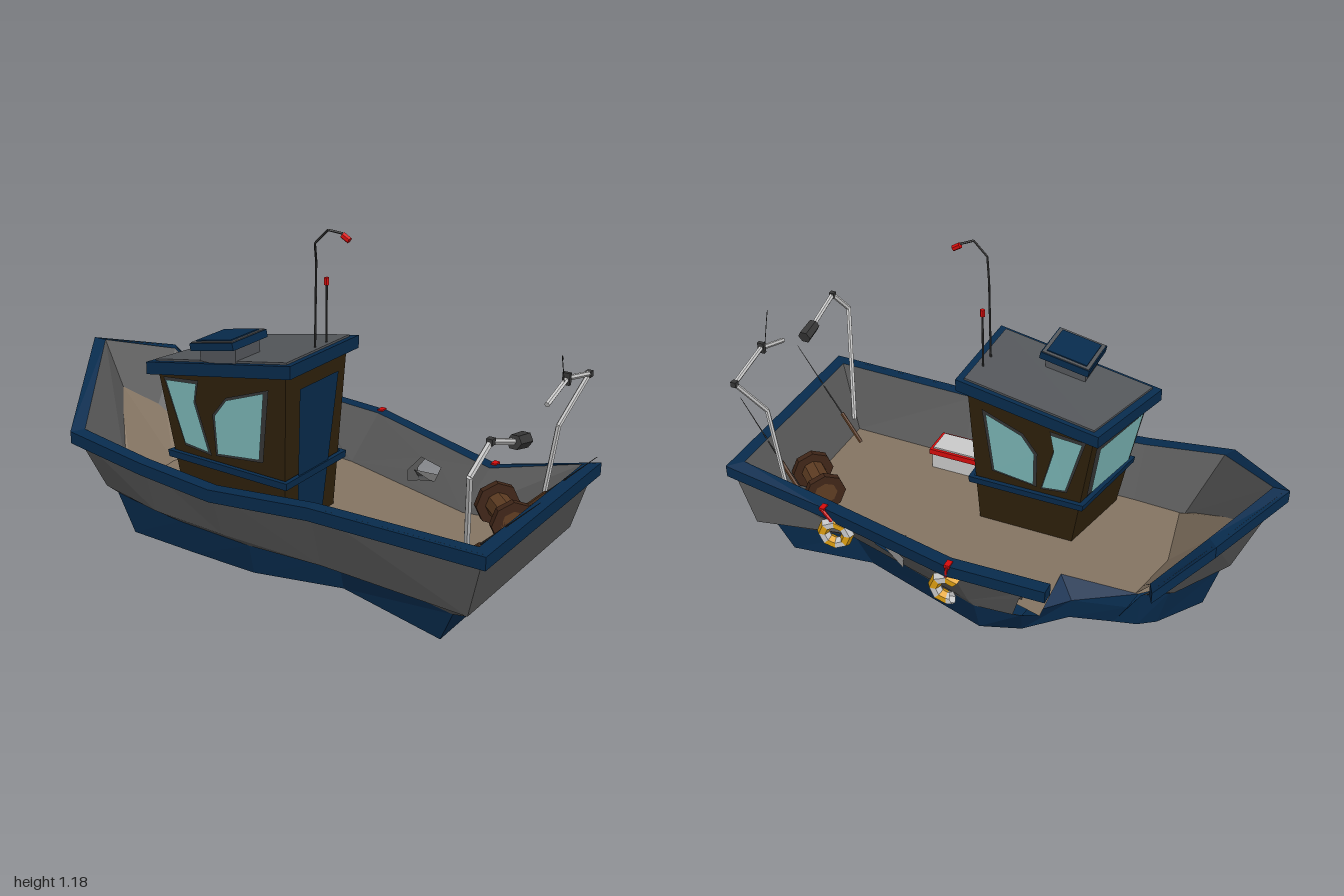
import * as THREE from 'three';

const V = (a) => new THREE.Vector3(...a);
const mat = (color) => new THREE.MeshStandardMaterial({ color, flatShading: true, side: THREE.DoubleSide });
const M = {
  grey: mat(0x5a5a5a), blue: mat(0x082c4e), brown: mat(0x30220c), deck: mat(0x857563), roof: mat(0x55585c),
  glass: mat(0x7fbcbc), steel: mat(0xc8c8c8), dark: mat(0x383838), red: mat(0xd80c0c), white: mat(0xd4d4d4),
  orange: mat(0xe0a010), wood: mat(0x5e3c22), darkWood: mat(0x402618),
};

export function createModel() {
  const model = new THREE.Group();
  const add = (name, geo, m, parent = model) => {
    const mesh = new THREE.Mesh(geo, m);
    mesh.name = name;
    parent.add(mesh);
    return mesh;
  };
  const fromTriangles = (pts) => {
    const g = new THREE.BufferGeometry();
    g.setAttribute('position', new THREE.Float32BufferAttribute(pts.flat(), 3));
    g.computeVertexNormals();
    return g;
  };
  // Joins rows of matching points; `around` closes each row on itself
  const loft = (rows, around = false, caps = false) => {
    const t = [], n = rows[0].length;
    for (let i = 0; i < rows.length - 1; i++) for (let j = 0; j < (around ? n : n - 1); j++) {
      const k = (j + 1) % n, a = rows[i][j], b = rows[i][k], c = rows[i + 1][k], d = rows[i + 1][j];
      t.push(a, b, c, a, c, d);
    }
    if (caps) for (const r of [rows[0], rows[rows.length - 1]])
      for (let j = 1; j < n - 1; j++) t.push(r[0], r[j], r[j + 1]);
    return fromTriangles(t);
  };
  // Shape in 0..1 coordinates laid on a four-cornered patch a-b (u), a-d (v)
  const patch = ([a, b, c, d], outline, hole) => {
    const shape = new THREE.Shape(outline.map((p) => new THREE.Vector2(...p)));
    if (hole) shape.holes.push(new THREE.Path(hole.map((p) => new THREE.Vector2(...p))));
    const g = new THREE.ShapeGeometry(shape), p = g.attributes.position;
    for (let i = 0; i < p.count; i++) {
      const u = p.getX(i), v = p.getY(i);
      const q = V(a).lerp(V(b), u).lerp(V(d).lerp(V(c), u), v);
      p.setXYZ(i, q.x, q.y, q.z);
    }
    g.computeVertexNormals();
    return g;
  };
  const flat = (pts, y) => new THREE.ShapeGeometry(
    new THREE.Shape(pts.map((p) => new THREE.Vector2(p[0], -p[2])))).rotateX(-Math.PI / 2).translate(0, y, 0);
  const rod = (name, a, b, r, m, parent, r2 = r, sides = 6) => {
    const p = V(a), q = V(b), mesh = add(name, new THREE.CylinderGeometry(r2, r, p.distanceTo(q), sides), m, parent);
    mesh.position.copy(p).lerp(q, 0.5);
    mesh.quaternion.setFromUnitVectors(new THREE.Vector3(0, 1, 0), q.sub(p).normalize());
    return mesh;
  };
  const path = (name, pts, r, m, parent) => pts.slice(1).forEach((p, i) => rod(name, pts[i], p, r, m, parent));
  const box = (name, s, p, m, parent) => {
    const mesh = add(name, new THREE.BoxGeometry(...s), m, parent);
    mesh.position.set(...p);
    return mesh;
  };

  // Hull stations, from the broken side round the stern to the broken bow
  const rim = [[.46, .345, -.36], [.455, .33, 0], [.31, .295, .55], [.335, .385, .91], [-.46, .385, .91], [-.465, .37, .3],
    [-.465, .325, -.1], [-.465, .345, -.4], [-.465, .385, -.72], [-.06, .575, -.985], [.21, .5, -.83], [.29, .31, -.66]];
  const foot = [[.405, .14, -.22], [.395, .135, -.05], [.25, .135, .5], [.32, .135, .84], [-.41, .135, .84], [-.4, .135, .3],
    [-.41, .135, -.1], [-.41, .14, -.4], [-.4, .17, -.64], [-.06, .2, -.84], [.14, .19, -.7], [.17, .17, -.6]];
  // Moves a plan outline outward by d (mitred) and shifts its height
  const offset = (pts, d, dy = 0) => pts.map((p, i) => {
    const side = (a, b) => new THREE.Vector2(b[2] - a[2], a[0] - b[0]).normalize();
    const n1 = side(pts[Math.max(i - 1, 0)], pts[Math.max(i, 1)]);
    const n2 = side(pts[Math.min(i, pts.length - 2)], pts[Math.min(i + 1, pts.length - 1)]);
    const n = n1.add(n2), k = 2 * d / n.lengthSq();
    return [p[0] + n.x * k, p[1] + dy, p[2] + n.y * k];
  });

  const hull = new THREE.Group();
  hull.name = 'hull';
  model.add(hull);
  const rimIn = offset(rim, -.035), deckEdge = offset(foot, -.07).map((p) => [p[0], .15 + Math.max(0, p[1] - .17), p[2]]);
  // Walls: the first panel has a ragged end, the second a torn hole
  const square = [[0, 0], [1, 0], [1, 1], [0, 1]];
  const ragged = [[0, 0], [1, 0], [1, 1], [0, 1], [.15, .55]];
  const hole = [[.5, .12], [.46, .3], [.5, .62], [.68, .6], [.69, .32], [.58, .22]];
  [[rim, foot, 'outerWall'], [rimIn, deckEdge, 'innerWall']].forEach(([top, low, name]) => {
    for (let i = 0; i < rim.length - 1; i++)
      add(name, patch([low[i], low[i + 1], top[i + 1], top[i]], i ? square : ragged, i === 1 ? hole : null), M.grey, hull);
  });
  add('tornFlap', fromTriangles([[.31, .2, .33], [.35, .15, .22], [.26, .22, .25],
    [.31, .2, .33], [.26, .22, .25], [.27, .17, .36]]), M.grey, hull);
  const rows = [offset(rim, .012), rimIn, offset(rim, -.035, -.045), offset(rim, .012, -.045)];
  add('gunwale', loft(rim.map((_, i) => rows.map((r) => r[i])), true, true), M.blue, hull);

  // Lower hull: waisted amidships, broken in on one side (plan x, z)
  const keelTop = [[.375, -.24], [.39, -.07], [.23, .48], [.28, .78], [-.39, .78], [-.31, .31], [-.39, 0], [-.39, -.3],
    [-.385, -.6], [-.06, -.81], [.12, -.68], [.15, -.59], [.165, -.55], [.21, -.36]]
    .map(([x, z], i) => [x, i < foot.length ? foot[i][1] - .022 : .09, z]);
  const keelLow = [[.32, -.22], [.367, -.08], [.22, .42], [.26, .73], [-.372, .73], [-.28, .31], [-.365, 0], [-.37, -.25],
    [-.37, -.54], [-.06, -.76], [.1, -.64], [.14, -.58], [.16, -.5], [.2, -.35]].map(([x, z]) => [x, 0, z]);
  add('lowerHull', loft([keelTop, keelLow], true), M.blue, hull);
  add('bottom', flat(keelLow, 0), M.blue, hull);
  add('hullStep', loft([foot, keelTop.slice(0, foot.length)]), M.grey, hull);

  // Deck, its broken edge and the rise into the bow
  const breakPts = [[.15, .15, -.58], [.16, .15, -.3], [.385, .15, -.31]];
  add('deck', flat([...deckEdge.slice(1, 11), ...breakPts], .15), M.deck, hull);
  add('brokenDeckEdge', loft([breakPts, [keelTop[12], keelTop[13], keelTop[0]]]), M.blue, hull);
  add('foredeck', loft([[[-.33, .15, -.58], [-.06, .15, -.62], [.15, .15, -.57]],
    [[-.2, .32, -.8], [-.06, .42, -.88], [.08, .32, -.78]]]), M.deck, hull);

  // Cabin
  const cabin = new THREE.Group();
  cabin.name = 'cabin';
  model.add(cabin);
  const low = [[-.31, .15, .09], [-.02, .15, .09], [-.02, .15, -.27], [-.31, .15, -.34]];
  const high = [[-.33, .74, .115], [.02, .74, .115], [.02, .65, -.35], [-.33, .64, -.43]];
  add('cabinWalls', loft([low, high], true), M.brown, cabin);
  const ring = (y, d) => low.map((p, i) => {
    const q = V(p).lerp(V(high[i]), (y - .15) / .55);
    return [q.x + (i % 3 ? d : -d), y, q.z + (i < 2 ? d : -d)];
  });
  add('cabinBand', loft([ring(.325, .004), ring(.325, .02), ring(.35, .02), ring(.35, .004)], true), M.blue, cabin);
  const roofPts = [[-.355, .77, .15], [.04, .77, .15], [.04, .675, -.37], [-.345, .66, -.47]];
  const down = (pts, d) => pts.map((p) => [p[0], p[1] - d, p[2]]);
  add('roofEdge', loft([down(roofPts, .045), roofPts], true, true), M.blue, cabin);
  const middle = roofPts.reduce((s, p) => s.add(V(p)), new THREE.Vector3()).divideScalar(4);
  const roofIn = roofPts.map((p) => V(p).lerp(middle, .09).add(V([0, .007, 0])).toArray());
  add('roofPanel', loft([down(roofIn, .02), roofIn], true, true), M.roof, cabin);

  // Windows and door sit just proud of the cabin walls, on a dark frame
  const cover = (name, i, pts, m, d) => {
    const j = (i + 1) % 4, c = [low[i], low[j], high[j], high[i]];
    const n = V(c[1]).sub(V(c[0])).cross(V(c[3]).sub(V(c[0]))).normalize().multiplyScalar(d);
    add(name, patch(c, pts).translate(n.x, n.y, n.z), m, cabin);
  };
  const grow = (pts) => {
    const cx = pts.reduce((s, p) => s + p[0], 0) / pts.length, cy = pts.reduce((s, p) => s + p[1], 0) / pts.length;
    return pts.map(([x, y]) => [cx + (x - cx) * 1.14, cy + (y - cy) * 1.09]);
  };
  const aft = [[.2, .45], [.57, .44], [.56, .7], [.45, .81], [.15, .87]];
  const fore = [[.65, .44], [.86, .48], [.93, .93], [.68, .91], [.72, .78]];
  const mirror = (pts) => pts.map(([x, y]) => [1 - x, y]);
  [[1, aft], [1, fore], [3, mirror(aft)], [3, mirror(fore)],
    [2, [[.12, .46], [.88, .46], [.9, .88], [.1, .88]]]].forEach(([i, pts]) => {
    cover('windowFrame', i, grow(pts), M.dark, .009);
    cover('window', i, pts, M.glass, .014);
  });
  cover('door', 0, [[.18, .03], [.68, .03], [.82, .87], [.17, .87]], M.blue, .015);

  // Roof hatch
  box('hatchBase', [.13, .07, .15], [-.275, .745, -.155], M.roof, cabin);
  const hatch = new THREE.Group();
  hatch.name = 'roofHatch';
  hatch.position.set(-.275, .78, -.16);
  hatch.rotation.x = -.19;
  cabin.add(hatch);
  box('hatchEdge', [.184, .026, .184], [0, -.002, 0], M.blue, hatch);
  box('hatchLid', [.176, .008, .176], [0, .01, 0], M.roof, hatch);
  box('hatchTop', [.15, .008, .15], [0, .014, 0], M.blue, hatch);

  // Antennas with red lamps
  rod('antenna', [-.08, .74, .1], [-.08, .98, .1], .004, M.dark);
  rod('antennaLamp', [-.08, .965, .1], [-.08, .99, .1], .009, M.red);
  path('bentAntenna', [[-.147, .74, .1], [-.147, 1.06, .105], [-.19, 1.13, .13], [-.19, 1.18, .18], [-.168, 1.17, .22]], .004, M.dark);
  rod('bentAntennaLamp', [-.168, 1.165, .22], [-.166, 1.15, .245], .011, M.red);

  // Stern lamp posts, one with its lamp torn off
  path('lampPost', [[-.33, .2, .785], [-.475, .62, .86], [-.405, .71, .885], [-.26, .66, .885]], .01, M.steel);
  rod('lamp', [-.255, .656, .885], [-.18, .64, .885], .024, M.dark, model, .026);
  path('brokenLampPost', [[.19, .16, .775], [.185, .55, .83], [.285, .71, .88], [.1, .75, .885], [-.04, .705, .885]], .009, M.steel);
  [[-.405, .71, .885], [.285, .71, .88]].forEach((p) => box('lampJoint', [.02, .02, .02], p, M.dark));
  box('lampBracket', [.014, .04, .025], [.095, .75, .885], M.dark);
  path('looseWire', [[.065, .75, .89], [.04, .83, .89], [.015, .85, .9], [0, .845, .91]], .0015, M.dark);

  // Fishing rods leaning over the stern
  [[[-.21, .19, .69], [-.3, .51, 1]], [[.19, .23, .73], [.105, .51, 1]]].forEach(([a, b]) => {
    rod('fishingRod', a, b, .004, M.dark, model, .001);
    rod('rodHandle', a, V(a).lerp(V(b), .3).toArray(), .008, M.wood);
  });

  // Cool box
  box('coolBox', [.11, .085, .23], [-.28, .19, .27], M.white);
  box('coolBoxRim', [.122, .022, .245], [-.28, .225, .27], M.red);
  box('coolBoxLid', [.1, .015, .22], [-.28, .235, .27], M.white);

  // Cable spool
  const a = V([.055, .228, .755]), b = V([.175, .228, .625]);
  const at = (t) => a.clone().lerp(b, t).toArray();
  rod('spoolCore', at(0), at(1), .045, M.wood, model, .045, 8);
  [[0, .14], [.86, 1]].forEach(([s, e]) => rod('spoolFlange', at(s), at(e), .078, M.darkWood, model, .078, 8));

  // Life rings, the second one broken
  [[[.325, .2, .5], Math.PI / 2 + .22, 8, [.32, .295, .545]], [[.448, .22, 0], Math.PI / 2 + .1, 5.5, [.455, .33, -.01]]]
    .forEach(([pos, turn, parts, strap]) => {
      const ringGroup = new THREE.Group();
      ringGroup.name = 'lifeRing';
      ringGroup.position.set(...pos);
      ringGroup.rotation.y = turn;
      model.add(ringGroup);
      for (let i = 0; i < parts; i++) {
        const arc = Math.PI / 4 * Math.min(1, parts - i);
        const piece = add('ringSection', new THREE.TorusGeometry(.046, .023, 6, 1, arc), i % 2 ? M.white : M.orange, ringGroup);
        piece.rotation.z = Math.PI / 4 * (i + 1);
      }
      rod('ringStrap', [pos[0] + .01, pos[1] + .05, pos[2]], [strap[0] + .012, strap[1], strap[2]], .007, M.red);
      box('strapHook', [.03, .012, .02], strap, M.red);
    });
  return model;
}
